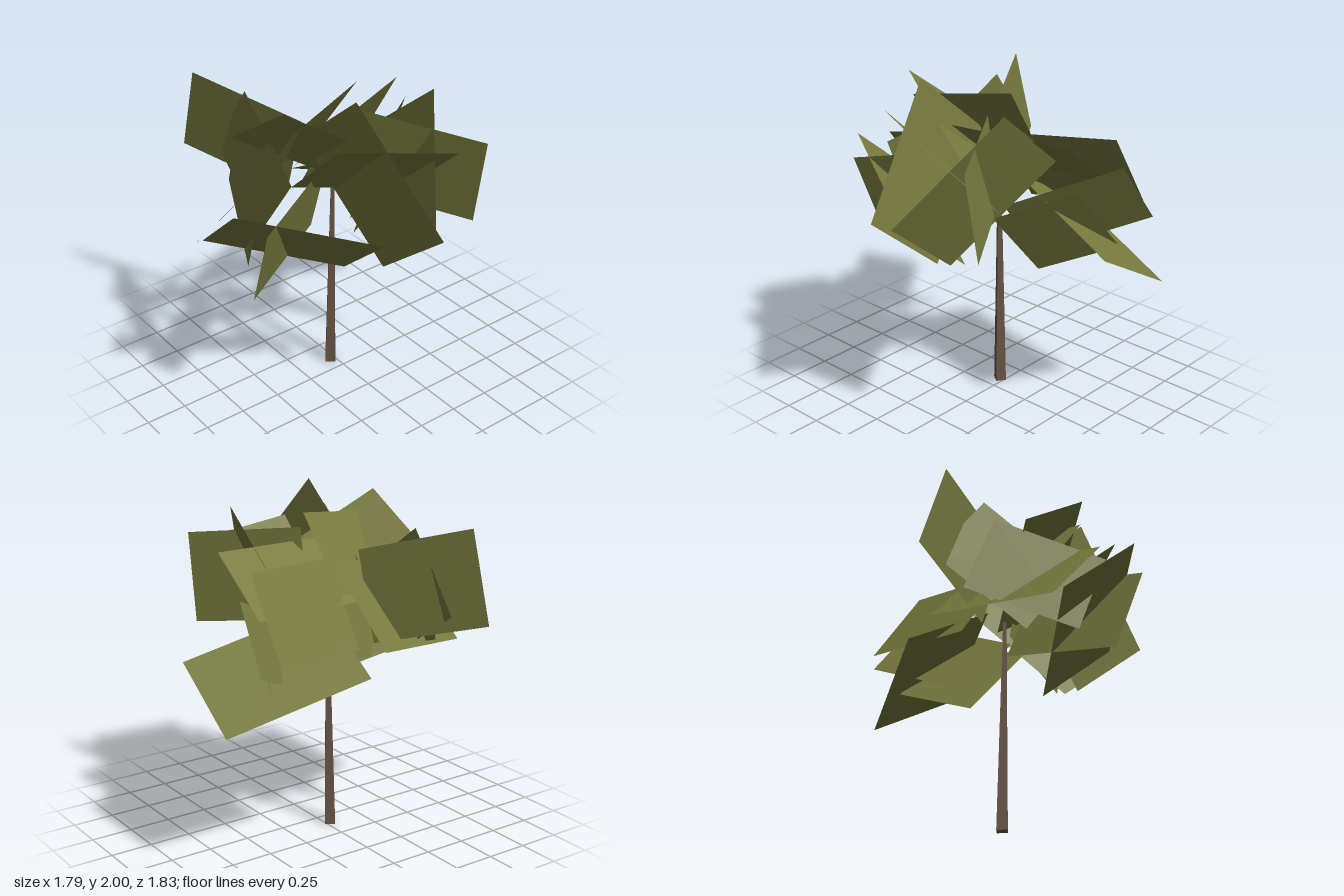
import * as THREE from 'three';

export function createModel() {
  const tree = new THREE.Group();
  tree.name = 'tree';

  const bark = new THREE.MeshStandardMaterial({ color: 0x6b5647, flatShading: true });
  bark.name = 'bark brown';
  const leaf = new THREE.MeshStandardMaterial({ color: 0x777b3e, side: THREE.DoubleSide });
  leaf.name = 'leaf olive';

  // Slim tapered four-sided trunk
  const trunkGeometry = new THREE.CylinderGeometry(0.014, 0.043, 1.29, 4);
  trunkGeometry.rotateY(0.175);
  // lean the upper end slightly
  const pos = trunkGeometry.attributes.position;
  for (let i = 0; i < pos.count; i++) {
    if (pos.getY(i) > 0) pos.setXYZ(i, pos.getX(i) + 0.01, pos.getY(i), pos.getZ(i) + 0.02);
  }
  trunkGeometry.computeVertexNormals();
  const trunk = new THREE.Mesh(trunkGeometry, bark);
  trunk.name = 'trunk';
  trunk.position.set(-0.031, 0.645, -0.092);
  tree.add(trunk);

  // Crown of flat leaf cards
  const crown = new THREE.Group();
  crown.name = 'crown';
  tree.add(crown);

  // A leaf card spans a corner and its two neighbouring corners
  function card(name, corner, next, previous) {
    const o = new THREE.Vector3(...corner);
    const u = new THREE.Vector3(...next).sub(o);
    const v = new THREE.Vector3(...previous).sub(o);
    const n = new THREE.Vector3().crossVectors(u, v).normalize();
    const geometry = new THREE.PlaneGeometry(1, 1).translate(0.5, 0.5, 0);
    geometry.applyMatrix4(new THREE.Matrix4().makeBasis(u, v, n).setPosition(o));
    geometry.computeVertexNormals();
    const mesh = new THREE.Mesh(geometry, leaf);
    mesh.name = name;
    crown.add(mesh);
  }

  // Front of the crown
  card('frontTallLeaf', [-0.2, 2.0, 0.37], [-0.045, 1.357, 0.915], [-0.2, 1.6, -0.12]);
  card('frontSteepLeaf', [-0.003, 1.3, 0.81], [0.37, 1.9, 0.33], [-0.006, 0.937, 0.36]);
  card('frontWideLeaf', [-0.395, 1.815, 0.48], [0.27, 1.67, 0.66], [-0.395, 1.415, 0.04]);
  card('frontLeftLeaf', [0.437, 1.695, 0.705], [0.447, 1.17, 0.615], [0.045, 1.78, 0.1]);

  // Left side
  card('leftLowLeaf', [0.893, 0.84, -0.445], [0.095, 1.08, -0.645], [0.857, 1.13, 0.06]);
  card('leftHangingLeaf', [0.205, 0.8, -0.165], [0.59, 0.97, -0.435], [0.145, 1.21, 0.17]);
  card('leftOuterLeaf', [0.7, 1.525, -0.29], [0.735, 1.165, -0.545], [0.15, 1.26, 0.08]);
  card('leftBackLeaf', [0.636, 1.67, -0.3], [0.636, 1.2, -0.6], [-0.03, 1.62, -0.07]);
  card('leftTopLeaf', [0.612, 1.71, 0.07], [0.59, 1.4, -0.31], [-0.17, 1.69, 0.165]);

  // Right side
  card('rightLowLeaf', [-0.165, 1.21, 0.58], [-0.1, 0.835, 0.14], [-0.893, 1.49, 0.23]);
  card('rightOuterLeaf', [-0.78, 1.4, 0.37], [-0.757, 0.895, 0.18], [-0.16, 1.51, 0.06]);
  card('rightBackLeaf', [-0.757, 1.495, 0.096], [-0.834, 1.06, -0.28], [0.03, 1.62, -0.21]);

  // Top and back
  card('topLeaf', [-0.515, 1.94, 0.155], [-0.565, 1.65, -0.275], [0.115, 1.55, 0.36]);
  card('topWideLeaf', [0.11, 1.89, -0.02], [0.06, 1.47, -0.32], [-0.47, 1.81, 0.17]);
  card('backInnerLeaf', [-0.37, 1.37, -0.75], [-0.365, 1.815, -0.43], [-0.45, 1.03, -0.2]);
  card('backSmallLeaf', [-0.427, 1.68, -0.4], [-0.69, 1.47, 0.18], [-0.405, 1.2, -0.58]);
  card('backOuterLeaf', [-0.5, 1.335, -0.91], [-0.5, 1.85, -0.757], [-0.17, 1.155, -0.317]);

  return tree;
}
